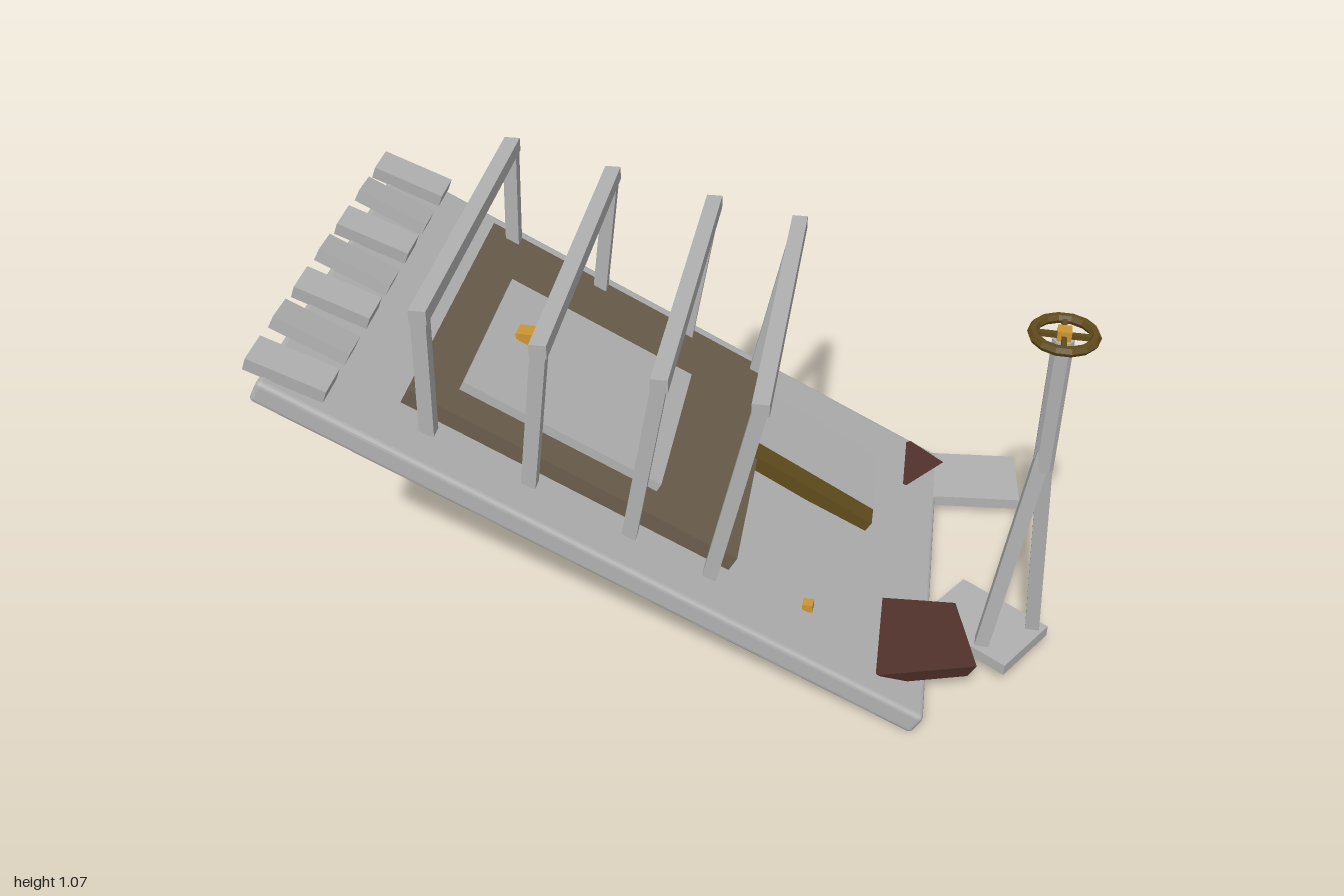
import * as THREE from 'three';
import { RoundedBoxGeometry } from 'three/addons/geometries/RoundedBoxGeometry.js';

const mat = (name, color) => {
  const m = new THREE.MeshStandardMaterial({ color, flatShading: true });
  m.name = name;
  return m;
};

export function createModel() {
  const model = new THREE.Group();
  const grey = mat('stone grey', 0xb0b0b0);
  const brown = mat('dull brown', 0x6a5d4b);
  const olive = mat('dark olive', 0x604b1c);
  const rust = mat('dark rust', 0x50322a);
  const amber = mat('amber', 0xcc9433);

  const add = (parent, name, geometry, material, x, y, z) => {
    const mesh = new THREE.Mesh(geometry, material);
    mesh.name = name;
    mesh.position.set(x, y, z);
    parent.add(mesh);
    return mesh;
  };
  const box = (parent, name, material, size, pos) =>
    add(parent, name, new THREE.BoxGeometry(...size), material, ...pos);
  // Box between two extents on each axis
  const span = (parent, name, material, a, b) =>
    box(parent, name, material, a.map((v, i) => b[i] - v), a.map((v, i) => (v + b[i]) / 2));
  // Square bar between two points
  const bar = (parent, name, material, from, to, width) => {
    const a = new THREE.Vector3(...from), b = new THREE.Vector3(...to);
    const d = b.clone().sub(a);
    const m = box(parent, name, material, [width, d.length(), width], a.add(b).multiplyScalar(0.5).toArray());
    m.quaternion.setFromUnitVectors(new THREE.Vector3(0, 1, 0), d.normalize());
    return m;
  };

  // Slightly turned base that carries the sloping deck and upright hoops
  const turned = new THREE.Group();
  turned.name = 'wreck';
  turned.position.set(-0.139, 0.455, 0.005);
  turned.rotation.y = 0.05;
  model.add(turned);

  // Sloping deck
  const deck = new THREE.Group();
  deck.name = 'deck';
  deck.rotation.z = -0.489;
  turned.add(deck);
  const slabMat = grey.clone();
  slabMat.flatShading = false;
  add(deck, 'deckSlab', new RoundedBoxGeometry(1.82, 0.066, 1.1, 2, 0.013), grey, 0, 0.002, 0);
  span(deck, 'bedPlate', brown, [-0.596, 0.03, -0.445], [0.32, 0.08, 0.38]);
  span(deck, 'bedPanel', grey, [-0.484, 0.08, -0.205], [0.072, 0.106, 0.288]);

  // Ramp panel with its dark side strip
  const ramp = new THREE.Group();
  ramp.name = 'ramp';
  ramp.position.set(0.5, 0.055, 0);
  ramp.rotation.z = -0.05;
  deck.add(ramp);
  span(ramp, 'rampPanel', grey, [-0.2, -0.02, -0.344], [0.19, 0.018, -0.095]);
  span(ramp, 'rampStrip', olive, [-0.2, -0.02, -0.095], [0.19, 0.022, -0.033]);

  // Loose planks along the raised end
  for (let i = -3; i <= 3; i++) {
    const s = i % 2 ? 1 : -1;
    const plank = box(deck, 'plank', grey, [0.2, 0.036, 0.09], [-0.855, 0.058, i * 0.16]);
    plank.rotation.set(s * 0.08, 0, 0.06 + s * 0.05);
  }

  // Four leaning hoops: foot x, foot y, top x, top y
  [
    [-0.43, 0.72, -0.418, 1.058],
    [-0.188, 0.59, -0.141, 0.993],
    [0.057, 0.46, 0.139, 0.928],
    [0.258, 0.355, 0.374, 0.885],
  ].forEach(([fx, fy, tx, ty]) => {
    const hoop = new THREE.Group();
    hoop.name = 'hoop';
    hoop.position.y = -0.455;
    turned.add(hoop);
    box(hoop, 'hoopBeam', grey, [0.042, 0.036, 0.89], [tx, ty, 0]);
    for (const z of [-0.425, 0.425]) bar(hoop, 'hoopPost', grey, [fx, fy, z], [tx, ty, z], 0.037);
  });

  // Small markers
  box(model, 'largeMarker', amber, [0.048, 0.034, 0.045], [-0.425, 0.74, 0.026]);
  box(model, 'smallMarker', amber, [0.027, 0.022, 0.027], [0.382, 0.238, 0.352]);

  // Flat rocks wedged through the low end, narrower at the bottom
  const rock = (name, points, y0, y1, taper) => {
    const cx = points.reduce((s, p) => s + p[0], 0) / points.length;
    const cz = points.reduce((s, p) => s + p[1], 0) / points.length;
    const shape = new THREE.Shape(points.map(([x, z]) => new THREE.Vector2(x - cx, cz - z)));
    const g = new THREE.ExtrudeGeometry(shape, { depth: y1 - y0, bevelEnabled: false });
    g.rotateX(-Math.PI / 2);
    const p = g.attributes.position;
    for (let i = 0; i < p.count; i++)
      if (p.getY(i) < 0.001) p.setXYZ(i, p.getX(i) * taper, 0, p.getZ(i) * taper);
    g.computeVertexNormals();
    add(model, name, g, rust, cx, y0, cz);
  };
  rock('largeRock', [[0.75, 0.145], [0.82, 0.37], [0.585, 0.45], [0.42, 0.43], [0.365, 0.28], [0.5, 0.17]], 0.085, 0.128, 0.92);
  rock('smallRock', [[0.565, -0.565], [0.67, -0.48], [0.575, -0.35], [0.48, -0.37], [0.44, -0.48]], 0.083, 0.112, 0.7);

  // Fallen slabs at the low end
  box(model, 'looseSlab', grey, [0.27, 0.032, 0.21], [0.755, 0.048, -0.492]).rotation.y = 0.13;
  box(model, 'standFoot', grey, [0.27, 0.032, 0.2], [0.828, 0.077, 0.162]).rotation.y = -0.55;

  // Wheel stand: two legs, a post and a spoked hand wheel
  const stand = new THREE.Group();
  stand.name = 'wheelStand';
  model.add(stand);
  bar(stand, 'standLeg', grey, [0.828, 0.09, 0.24], [0.91, 0.71, 0.213], 0.036);
  bar(stand, 'standLeg', grey, [0.955, 0.09, 0.15], [0.914, 0.71, 0.205], 0.036);
  add(stand, 'standPost', new THREE.CylinderGeometry(0.026, 0.026, 0.37, 10), grey, 0.912, 0.845, 0.21);
  const rim = add(stand, 'wheelRim', new THREE.TorusGeometry(0.071, 0.0125, 6, 14), olive, 0.912, 1.04, 0.21);
  rim.rotation.x = Math.PI / 2;
  for (let i = 0; i < 2; i++)
    box(stand, 'wheelSpoke', olive, [0.14, 0.012, 0.012], [0.912, 1.038, 0.21]).rotation.y = i * Math.PI / 2;
  box(stand, 'wheelHub', amber, [0.032, 0.03, 0.032], [0.912, 1.04, 0.21]);

  return model;
}
